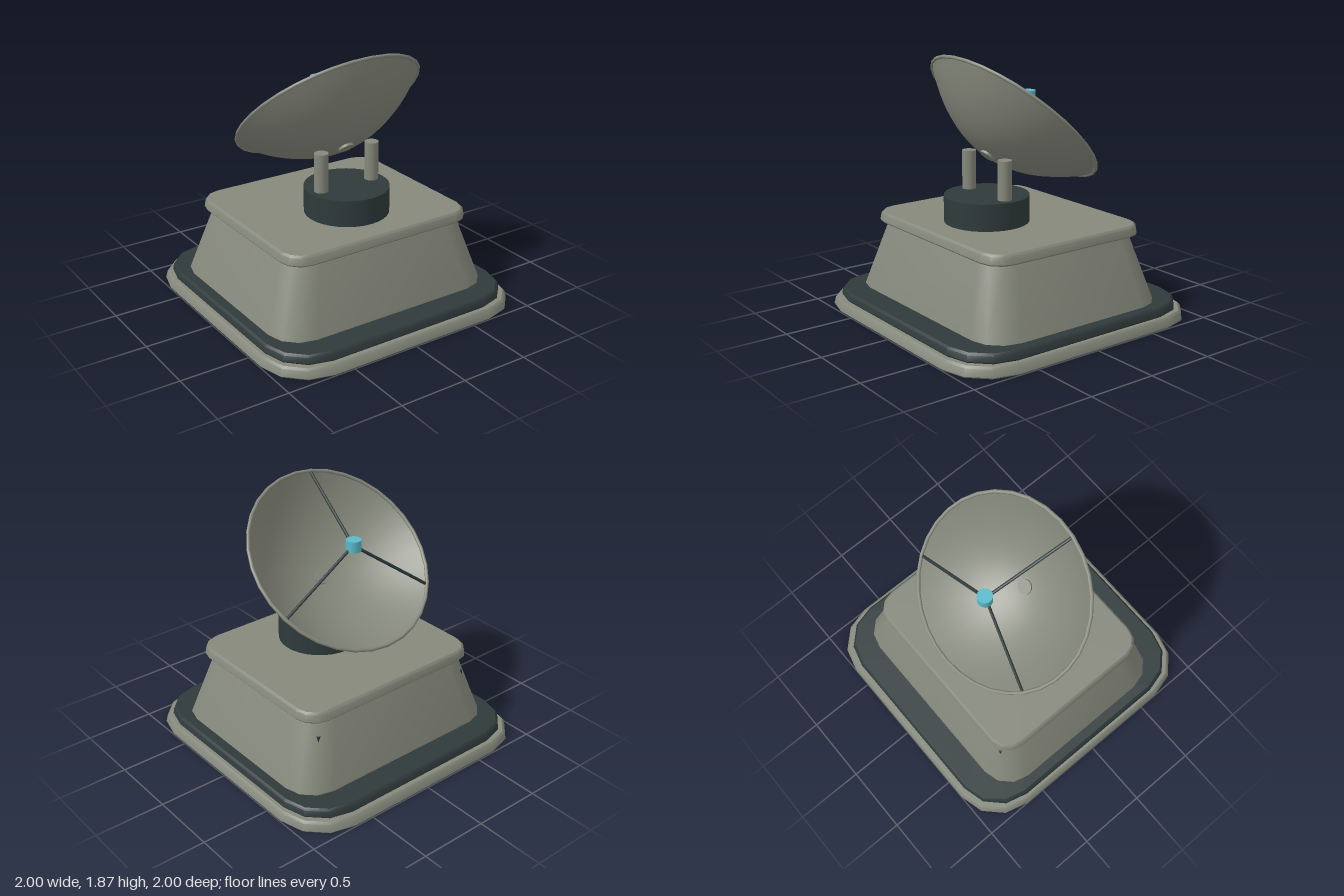
import * as THREE from 'three';
import { toCreasedNormals } from 'three/addons/utils/BufferGeometryUtils.js';

const paint = new THREE.MeshStandardMaterial({ name: 'grey paint', color: 0x85887b, side: THREE.DoubleSide });
const dark = new THREE.MeshStandardMaterial({ name: 'dark metal', color: 0x2f3a3b });
const teal = new THREE.MeshStandardMaterial({ name: 'teal receiver', color: 0x5ab9ca });

// Rounded-rectangle ring: half sizes hx and hz, corner radius r, three facets per corner
function ring(hx, hz, r) {
  const pts = [];
  [[1, 1], [-1, 1], [-1, -1], [1, -1]].forEach(([sx, sz], q) => {
    for (let i = 0; i <= 3; i++) {
      const a = (q + i / 3) * Math.PI / 2;
      pts.push([sx * (hx - r) + r * Math.cos(a), sz * (hz - r) + r * Math.sin(a)]);
    }
  });
  return pts;
}

// Closed solid through rounded-rectangle levels [y, hx, hz, r]
function loft(levels) {
  const pos = [], idx = [], n = 16;
  for (const [y, hx, hz, r] of levels) for (const [x, z] of ring(hx, hz, r)) pos.push(x, y, z);
  const last = levels.length - 1;
  pos.push(0, levels[0][0], 0, 0, levels[last][0], 0);
  const bottom = n * levels.length, top = bottom + 1;
  for (let i = 0; i < n; i++) {
    const j = (i + 1) % n;
    for (let k = 0; k < last; k++) {
      const a = k * n + i, b = k * n + j;
      idx.push(a, a + n, b, b, a + n, b + n);
    }
    idx.push(bottom, i, j, top, last * n + j, last * n + i);
  }
  const g = new THREE.BufferGeometry();
  g.setAttribute('position', new THREE.Float32BufferAttribute(pos, 3));
  g.setIndex(idx);
  return toCreasedNormals(g, 0.6);
}

// Slab with slightly leaning sides and bevelled edges
function slab(y0, y1, hx, hz, r, lean) {
  const at = (y, inset) => [y, hx - inset, hz - inset, r - inset];
  return loft([at(y0, 0.008), at(y0 + 0.01, 0), at(y1 - 0.015, lean), at(y1, lean + 0.015)]);
}

function add(parent, name, geometry, material, x = 0, y = 0, z = 0) {
  const m = new THREE.Mesh(geometry, material);
  m.name = name;
  m.position.set(x, y, z);
  parent.add(m);
  return m;
}

// Thin rod between two points
function rod(parent, name, a, b, radius, material) {
  const dir = b.clone().sub(a);
  const m = add(parent, name, new THREE.CylinderGeometry(radius, radius, dir.length(), 8), material);
  m.position.copy(a).add(b).multiplyScalar(0.5);
  m.quaternion.setFromUnitVectors(new THREE.Vector3(0, 1, 0), dir.normalize());
}

export function createModel() {
  const model = new THREE.Group();
  model.name = 'dishStation';

  // Stepped foundation and tapered building
  add(model, 'foundation', slab(0, 0.075, 1, 1, 0.35, 0.013), paint);
  add(model, 'plinth', slab(0.075, 0.14, 0.955, 0.95, 0.33, 0.008), dark);
  add(model, 'building', loft([[0.14, 0.865, 0.76, 0.23], [0.155, 0.86, 0.757, 0.23],
    [0.6, 0.715, 0.632, 0.19], [0.63, 0.7, 0.62, 0.18]]), paint);
  add(model, 'roofSlab', slab(0.62, 0.695, 0.75, 0.658, 0.16, 0.01), paint);

  // Inset rear panel whose upper corners break through the wall
  add(model, 'rearPanel', new THREE.BoxGeometry(1.33, 0.16, 0.06), dark, 0, 0.43, -0.602);

  // Turntable and twin supports
  add(model, 'turntable', new THREE.CylinderGeometry(0.3, 0.3, 0.19, 32), dark, 0, 0.79, 0.17);
  for (const s of [-1, 1])
    add(model, s > 0 ? 'leftSupport' : 'rightSupport',
      new THREE.CylinderGeometry(0.05, 0.05, 0.28, 16), paint, s * 0.21, 1.022, 0.17);

  // Tilted parabolic dish with its axis along local y
  const dish = new THREE.Group();
  dish.name = 'dish';
  dish.position.set(0, 1.395, -0.06);
  dish.rotation.x = -0.752;
  model.add(dish);
  const R = 0.68, depth = 0.32, profile = [];
  for (let i = 0; i <= 12; i++) {
    const t = i / 12;
    profile.push(new THREE.Vector2(R * t, depth * (t * t - 1)));
  }
  add(dish, 'reflector', new THREE.LatheGeometry(profile, 32), paint);
  add(dish, 'rim', new THREE.TorusGeometry(R, 0.013, 8, 32).rotateX(Math.PI / 2), paint);
  add(dish, 'hub', new THREE.CylinderGeometry(0.055, 0.055, 0.03, 20), paint, 0, -0.32, 0);

  // Three struts carrying the receiver
  const apex = new THREE.Vector3(0, 0.19, 0);
  for (const [x, z] of [[0.615, -0.265], [-0.55, -0.385], [-0.13, 0.655]])
    rod(dish, 'strut', apex, new THREE.Vector3(x, -0.005, z), 0.011, dark);
  add(model, 'receiver', new THREE.CylinderGeometry(0.053, 0.053, 0.08, 20), teal, 0, 1.54, -0.195);

  return model;
}
